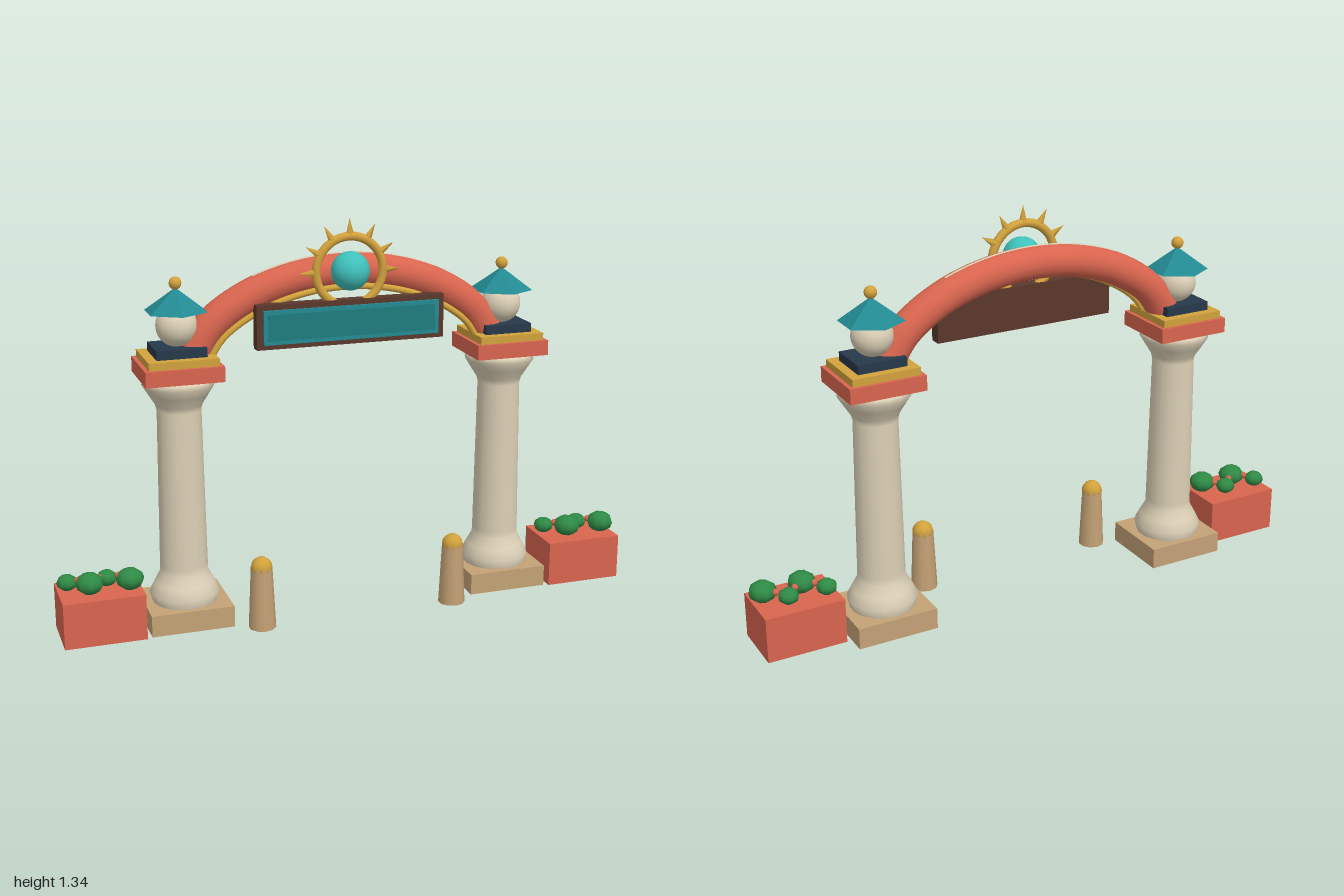
import * as THREE from 'three';

const mat = (name, color, flatShading = false) => {
  const m = new THREE.MeshStandardMaterial({ color, flatShading });
  m.name = name;
  return m;
};

export function createModel() {
  const coral = mat('coral', 0xd9654f);
  const tan = mat('tan stone', 0xc4a276);
  const gold = mat('gold', 0xd2a23c);
  const navy = mat('navy', 0x26384a);
  const cream = mat('cream stone', 0xdcd0b6);
  const teal = mat('teal', 0x238a92, true);
  const darkTeal = mat('dark teal', 0x1f7c7e);
  const turquoise = mat('turquoise', 0x3fc1bb);
  const green = mat('leaf green', 0x2f8a45);
  const brown = mat('dark wood', 0x5a372b);

  const root = new THREE.Group();
  root.name = 'archway';
  root.position.x = -0.004;

  const add = (parent, name, geo, material, x = 0, y = 0, z = 0) => {
    const m = new THREE.Mesh(geo, material);
    m.name = name;
    m.position.set(x, y, z);
    parent.add(m);
    return m;
  };
  // box given by its bottom and top heights
  const slab = (parent, name, w, y0, y1, d, material, x = 0, z = 0) =>
    add(parent, name, new THREE.BoxGeometry(w, y1 - y0, d), material, x, (y0 + y1) / 2, z);
  const ball = (r, w = 20, h = 14) => new THREE.SphereGeometry(r, w, h);
  const group = (name, x, z) => {
    const g = new THREE.Group();
    g.name = name;
    g.position.set(x, 0, z);
    root.add(g);
    return g;
  };

  const archZ = -0.036;

  // Column outline, bottom to top
  const shaft = new THREE.LatheGeometry([
    [0.11, 0.073], [0.118, 0.105], [0.1, 0.14], [0.081, 0.175], [0.08, 0.2],
    [0.073, 0.735], [0.078, 0.755], [0.1, 0.79], [0.12, 0.822], [0.115, 0.838], [0.105, 0.846],
  ].map(([r, y]) => new THREE.Vector2(r, y)), 18);

  for (const [side, s] of [['right', -1], ['left', 1]]) {
    // Pillar with stacked capital and lantern
    const p = group(side + 'Pillar', s * 0.568, archZ);
    slab(p, 'base', 0.28, 0, 0.073, 0.256, tan);
    add(p, 'column', shaft, cream);
    slab(p, 'capital', 0.258, 0.845, 0.896, 0.236, coral);
    slab(p, 'capitalTrim', 0.23, 0.896, 0.921, 0.212, gold);
    slab(p, 'lanternBase', 0.166, 0.921, 0.951, 0.15, navy);
    add(p, 'lanternGlobe', ball(0.068), cream, 0, 1.014);
    add(p, 'lanternRoof', new THREE.ConeGeometry(0.107, 0.077, 6), teal, 0, 1.1);
    add(p, 'finial', ball(0.021, 12, 8), gold, 0, 1.153);

    // Bollard with domed top
    const b = group(side + 'Bollard', s * 0.341, 0.121);
    add(b, 'post', new THREE.CylinderGeometry(0.036, 0.046, 0.215, 10), tan, 0, 0.1075);
    add(b, 'dome', ball(0.037, 10, 8), gold, 0, 0.212);

    // Planter with shrubs, same arrangement on both sides
    const t = group(side + 'Planter', s * 0.8605, 0);
    slab(t, 'planterBox', 0.271, 0, 0.156, 0.2, coral);
    for (const [x, y, z, r] of [
      [-0.101, 0.181, -0.03, 0.035], [-0.035, 0.19, 0.024, 0.047],
      [0.03, 0.181, -0.03, 0.035], [0.098, 0.19, 0.024, 0.047],
    ]) add(t, 'shrub', ball(r, 8, 6), green, x, y, z).scale.y = 0.77;
    for (const x of [-0.068, 0, 0.065])
      add(t, 'blossom', ball(0.012, 8, 6), coral, x, 0.193, -0.008);
  }

  // Arch path and its parallel offsets in the upright plane
  const half = [[0.53, 0.9], [0.46, 1.005], [0.33, 1.093], [0.17, 1.147]];
  const path = new THREE.CatmullRomCurve3([
    ...half.map(([x, y]) => new THREE.Vector3(-x, y, 0)),
    new THREE.Vector3(0, 1.165, 0),
    ...half.slice().reverse().map(([x, y]) => new THREE.Vector3(x, y, 0)),
  ]);
  const offsetPath = (d, t0, t1) => {
    const pts = [];
    for (let i = 0; i <= 24; i++) {
      const t = t0 + (t1 - t0) * i / 24;
      const n = path.getTangentAt(t);
      pts.push(path.getPointAt(t).add(new THREE.Vector3(-n.y * d, n.x * d, 0)));
    }
    return new THREE.CatmullRomCurve3(pts);
  };
  add(root, 'arch', new THREE.TubeGeometry(path, 48, 0.055, 16), coral, 0, 0, archZ);
  add(root, 'archTrim', new THREE.TubeGeometry(offsetPath(-0.052, 0, 1), 48, 0.011, 8), gold, 0, 0, 0);
  add(root, 'archRidge', new THREE.TubeGeometry(offsetPath(0.052, 0.26, 0.74), 32, 0.0055, 6), cream, 0, 0, archZ);

  // Hanging sign
  slab(root, 'signBoard', 0.646, 0.93, 1.077, 0.042, brown, 0, 0.025);
  slab(root, 'signBorder', 0.604, 0.947, 1.06, 0.012, teal, 0, 0.051);
  slab(root, 'signPanel', 0.575, 0.96, 1.047, 0.003, darkTeal, 0, 0.058);

  // Sun emblem: ring, rays and globe
  const sun = group('sunEmblem', 0, 0.022);
  sun.position.y = 1.168;
  add(sun, 'sunRing', new THREE.TorusGeometry(0.115, 0.0145, 10, 40), gold);
  for (let i = 0; i <= 6; i++) {
    const a = i * Math.PI / 6;
    add(sun, 'sunRay', new THREE.ConeGeometry(0.015, 0.058, 5), gold,
      Math.cos(a) * 0.146, Math.sin(a) * 0.146).rotation.z = a - Math.PI / 2;
  }
  add(sun, 'sunGlobe', ball(0.064, 24, 16), turquoise, 0, 0.002, 0.008);

  return root;
}
